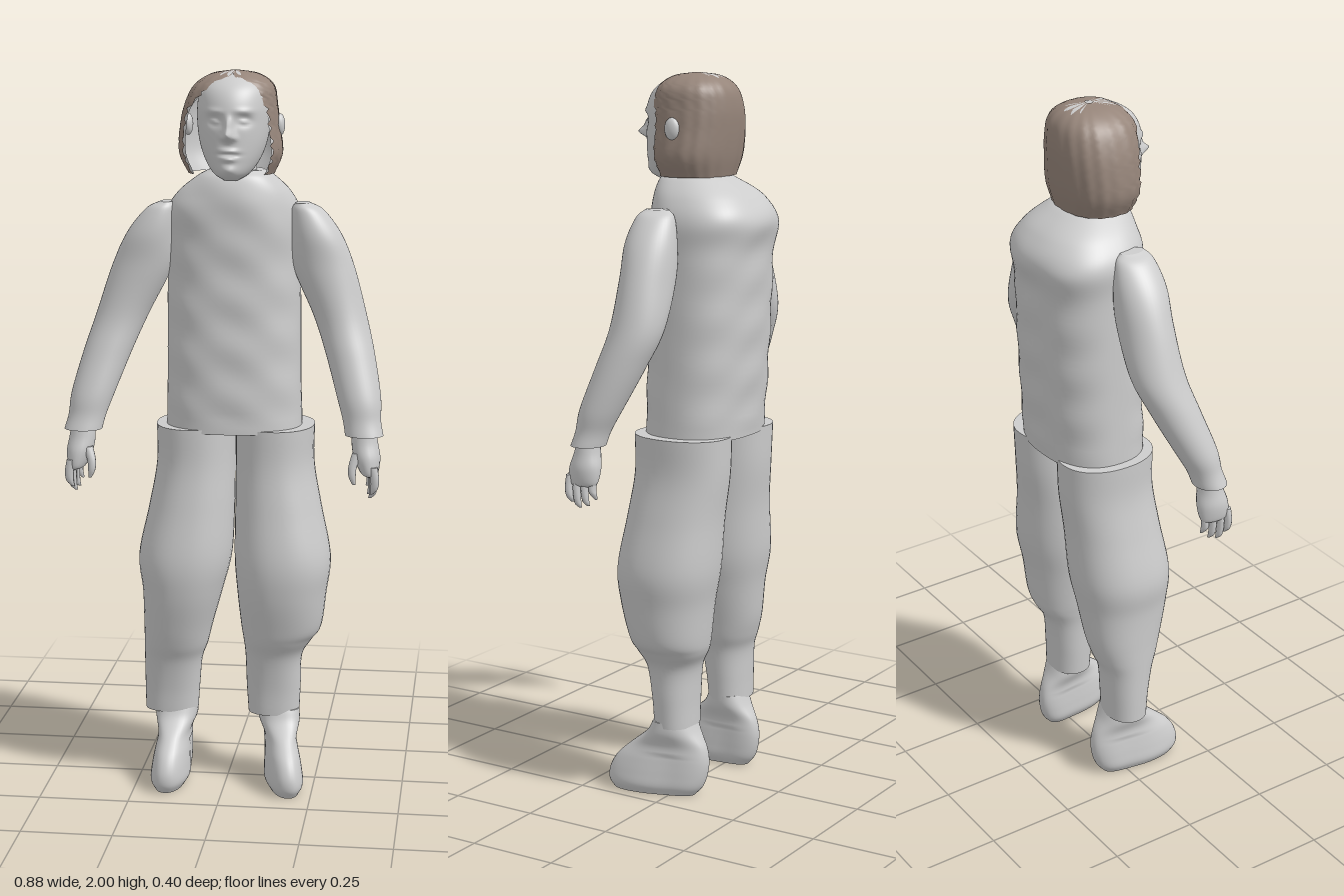
import * as THREE from 'three';

const clothGrey = new THREE.MeshStandardMaterial({ color: 0xcccccc, side: THREE.DoubleSide });
clothGrey.name = 'plain grey';
const hairBrown = new THREE.MeshStandardMaterial({ color: 0x96857a, side: THREE.DoubleSide });
hairBrown.name = 'hair brown';

// Lofts horizontal superellipse sections [x, y, z, rx, rz], listed from top to bottom.
// gap(t, row) opens the front by that half angle; bump(p) may move each point.
function loft(sections, { sides = 40, steps = 6, power = 2, gap = null, bump = null, caps = true } = {}) {
  const centres = new THREE.CatmullRomCurve3(sections.map(s => new THREE.Vector3(s[0], s[1], s[2])), false, 'catmullrom');
  const radii = new THREE.CatmullRomCurve3(sections.map(s => new THREE.Vector3(s[3], s[4], 0)), false, 'catmullrom');
  const rows = (sections.length - 1) * steps;
  const cols = gap ? sides + 1 : sides;
  const pos = [], idx = [];
  const curl = v => Math.sign(v) * Math.pow(Math.abs(v), 2 / power);
  const addRow = (t, k, row) => {
    const c = centres.getPoint(t), r = radii.getPoint(t), g = gap ? gap(t, row) : 0;
    for (let j = 0; j < cols; j++) {
      const a = g + (j / sides) * (2 * Math.PI - 2 * g);
      const p = new THREE.Vector3(c.x + k * r.x * curl(Math.sin(a)), c.y, c.z + k * r.y * curl(Math.cos(a)));
      if (bump) bump(p, a);
      pos.push(p.x, p.y, p.z);
    }
  };
  const join = row => {
    for (let j = 0; j < sides; j++) {
      const n = gap ? j + 1 : (j + 1) % sides;
      const a = row * cols + j, d = row * cols + n;
      idx.push(a, a + cols, d + cols, a, d + cols, d);
    }
  };
  for (let i = 0; i <= rows; i++) addRow(i / rows, 1, i);
  for (let i = 0; i < rows; i++) join(i);
  if (caps && !gap) { // flat ends with their own vertices, so the rim stays sharp
    addRow(0, 0, 0); addRow(0, 1, 0); join(rows + 1);
    addRow(1, 1, rows); addRow(1, 0, rows); join(rows + 3);
  }
  const geo = new THREE.BufferGeometry();
  geo.setAttribute('position', new THREE.Float32BufferAttribute(pos, 3));
  geo.setIndex(idx);
  geo.computeVertexNormals();
  return geo;
}

// Section from its limits: y, x range, z range
const box = (y, x0, x1, z0, z1) => [(x0 + x1) / 2, y, (z0 + z1) / 2, (x1 - x0) / 2, (z1 - z0) / 2];

export function createModel() {
  const model = new THREE.Group();
  const add = (name, geo, mat = clothGrey, parent = model) => {
    const mesh = new THREE.Mesh(geo, mat);
    mesh.name = name;
    parent.add(mesh);
    return mesh;
  };

  // Torso with a rounded upper back and soft cloth folds
  add('torso', loft([
    box(1.735, -0.05, 0.1, -0.06, 0.08),
    box(1.715, -0.085, 0.13, -0.1, 0.1),
    box(1.67, -0.14, 0.17, -0.165, 0.11),
    box(1.61, -0.175, 0.195, -0.2, 0.115),
    box(1.52, -0.17, 0.195, -0.187, 0.112),
    box(1.35, -0.17, 0.198, -0.18, 0.115),
    box(1.18, -0.17, 0.2, -0.17, 0.12),
    box(1.02, -0.172, 0.205, -0.158, 0.122),
  ], {
    sides: 64, power: 2.4, steps: 8,
    bump: p => { if (p.y > 1.04) p.z += 0.003 * Math.sin(p.y * 46 + p.x * 14) * Math.sin(p.x * 20 + 1); },
  }));

  // Trousers: wide to the knee, gathered at the calf, narrow to the ankle
  add('rightTrouserLeg', loft([
    box(1.03, -0.2, 0.018, -0.155, 0.12),
    box(0.92, -0.2, 0.018, -0.15, 0.12),
    box(0.8, -0.22, 0.018, -0.137, 0.135),
    box(0.66, -0.248, 0.012, -0.13, 0.155),
    box(0.56, -0.238, -0.012, -0.112, 0.147),
    box(0.46, -0.236, -0.04, -0.097, 0.122),
    box(0.4, -0.236, -0.055, -0.08, 0.103),
    box(0.35, -0.236, -0.072, -0.062, 0.083),
    box(0.27, -0.236, -0.08, -0.057, 0.068),
    box(0.2, -0.235, -0.085, -0.055, 0.062),
  ], { power: 2.2 }));
  add('leftTrouserLeg', loft([
    box(1.03, 0.022, 0.24, -0.155, 0.12),
    box(0.92, 0.022, 0.24, -0.15, 0.12),
    box(0.8, 0.022, 0.262, -0.137, 0.135),
    box(0.66, 0.022, 0.29, -0.13, 0.155),
    box(0.56, 0.03, 0.28, -0.112, 0.147),
    box(0.46, 0.04, 0.266, -0.1, 0.122),
    box(0.42, 0.046, 0.24, -0.09, 0.108),
    box(0.37, 0.052, 0.212, -0.065, 0.085),
    box(0.28, 0.055, 0.208, -0.057, 0.068),
    box(0.2, 0.06, 0.205, -0.055, 0.062),
  ], { power: 2.2 }));

  for (const side of [-1, 1]) {
    const label = side < 0 ? 'right' : 'left';

    // Shoe: ankle opening, sloping instep, rounded toe, slightly turned out on the left
    const turn = side > 0 ? 0.2 : 0.03;
    add(label + 'Shoe', loft([
      box(0.215, -0.062, 0.062, -0.05, 0.055),
      box(0.18, -0.06, 0.06, -0.065, 0.075),
      box(0.14, -0.046, 0.046, -0.088, 0.122),
      box(0.1, -0.05, 0.05, -0.096, 0.165),
      box(0.06, -0.054, 0.054, -0.092, 0.187),
      box(0.025, -0.055, 0.055, -0.08, 0.189),
      box(0, -0.042, 0.042, -0.06, 0.175),
    ], { power: 2.3, bump: p => {
      const waist = 1 - 0.14 * Math.exp(-((p.z / 0.05) ** 2)) * (p.y < 0.12 ? 1 : 0.3);
      p.x = side * (0.145 + (0.2 - p.y) * 0.04 + turn * p.z) + p.x * waist;
    } }));

    // Arm: shoulder cap, bent elbow, flared cuff
    const arm = new THREE.Group();
    arm.name = label + 'Arm';
    model.add(arm);
    const place = s => [side * s[0] + 0.02 * Math.max(0, (s[1] - 1.03) / 0.6), ...s.slice(1)];
    add(label + 'Sleeve', loft([
      [0.185, 1.647, 0.015, 0.02, 0.035],
      [0.2, 1.625, 0.013, 0.045, 0.055],
      [0.225, 1.56, 0.012, 0.07, 0.07],
      [0.25, 1.47, 0.008, 0.084, 0.072],
      [0.3, 1.34, 0.013, 0.073, 0.074],
      [0.334, 1.24, 0.045, 0.067, 0.068],
      [0.365, 1.13, 0.088, 0.06, 0.058],
      [0.377, 1.07, 0.108, 0.052, 0.047],
      [0.386, 1.03, 0.12, 0.052, 0.046],
    ].map(place)), clothGrey, arm);

    // Hand: palm, four fingers curling in, and a thumb
    const hand = new THREE.Group();
    hand.name = label + 'Hand';
    arm.add(hand);
    const flip = s => [side * s[0], ...s.slice(1)];
    add('palm', loft([
      [0.386, 1.05, 0.12, 0.032, 0.03],
      [0.388, 1.01, 0.122, 0.036, 0.036],
      [0.395, 0.97, 0.125, 0.036, 0.046],
      [0.402, 0.93, 0.128, 0.024, 0.044],
      [0.405, 0.92, 0.128, 0.01, 0.03],
    ].map(flip), { sides: 20 }), clothGrey, hand);
    for (let f = 0; f < 4; f++) {
      const z = 0.095 + f * 0.022, x = 0.398 + f * 0.005, tip = [0.885, 0.866, 0.86, 0.875][f];
      add('finger', loft([
        [x, 0.95, z, 0.013, 0.011],
        [x + 0.006, 0.915, z + 0.002, 0.012, 0.01],
        [x + 0.004, tip + 0.015, z, 0.01, 0.009],
        [x - 0.004, tip, z - 0.003, 0.004, 0.004],
      ].map(flip), { sides: 10, steps: 3 }), clothGrey, hand);
    }
    add('thumb', loft([
      [0.37, 0.985, 0.145, 0.015, 0.013],
      [0.358, 0.95, 0.155, 0.012, 0.011],
      [0.357, 0.922, 0.158, 0.01, 0.01],
      [0.362, 0.9, 0.158, 0.004, 0.004],
    ].map(flip), { sides: 10, steps: 3 }), clothGrey, hand);
  }

  // Neck
  add('neck', loft([
    [0.02, 1.8, 0.01, 0.06, 0.06], [0.02, 1.74, 0.015, 0.06, 0.06], [0.02, 1.67, 0.02, 0.07, 0.07],
  ]));

  // Head; face relief as soft bumps [x, y, width, height, depth]
  const relief = [
    [0, 1.835, 0.013, 0.014, 0.038], [0, 1.86, 0.009, 0.02, 0.02], // nose
    [-0.016, 1.828, 0.008, 0.007, 0.008], [0.016, 1.828, 0.008, 0.007, 0.008], // nostrils
    [-0.042, 1.872, 0.02, 0.014, -0.014], [0.042, 1.872, 0.02, 0.014, -0.014], // sockets
    [-0.04, 1.87, 0.012, 0.006, 0.012], [0.04, 1.87, 0.012, 0.006, 0.012], // eyes
    [-0.042, 1.897, 0.024, 0.007, 0.006], [0.042, 1.897, 0.024, 0.007, 0.006], // brows
    [0, 1.793, 0.022, 0.006, 0.011], [0, 1.772, 0.018, 0.007, 0.011], // lips
    [0, 1.783, 0.026, 0.004, -0.008], [0, 1.742, 0.02, 0.012, 0.008], // mouth line, chin
  ];
  add('head', loft([
    box(1.998, 0.01, 0.03, 0.0, 0.02),
    box(1.985, -0.04, 0.08, -0.05, 0.08),
    box(1.955, -0.07, 0.11, -0.08, 0.128),
    box(1.91, -0.078, 0.118, -0.092, 0.152),
    box(1.86, -0.078, 0.118, -0.09, 0.154),
    box(1.81, -0.07, 0.11, -0.07, 0.155),
    box(1.765, -0.053, 0.093, -0.04, 0.155),
    box(1.73, -0.028, 0.068, 0.01, 0.15),
    box(1.712, 0.0, 0.04, 0.05, 0.125),
  ], { sides: 120, steps: 10, bump: (p, a) => {
    const front = Math.max(0, Math.cos(a));
    for (const [x, y, w, h, d] of relief)
      p.z += front * d * Math.exp(-(((p.x - 0.02 - x) / w) ** 2) - ((p.y - y) / h) ** 2);
  } }));

  // Hair: open-fronted cap with a ragged edge, over a grey lining that peeps out
  const hairShape = k => [
    box(2.0, 0.01, 0.03, -0.005, 0.015),
    box(1.99, -0.045 * k, 0.02 + 0.065 * k, -0.06, 0.07),
    box(1.96, -0.09 * k, 0.02 + 0.105 * k, -0.095 * k, 0.108 * k),
    box(1.91, -0.115 * k, 0.02 + 0.115 * k, -0.107 * k, 0.122 * k),
    box(1.85, -0.128 * k, 0.02 + 0.122 * k, -0.106 * k, 0.122 * k),
    box(1.78, -0.13 * k, 0.02 + 0.13 * k, -0.098 * k, 0.12 * k),
    box(1.725, -0.105 * k, 0.02 + 0.108 * k, -0.085 * k, 0.105 * k),
  ];
  const opening = t => THREE.MathUtils.smoothstep(t, 0.12, 0.6) * 0.98;
  add('hair', loft(hairShape(1), {
    sides: 72, power: 2.3, steps: 6,
    gap: (t, row) => opening(t) + (t > 0.25 ? 0.07 * Math.sin(row * 2.4) : 0),
    bump: (p, a) => { const s = 1 + 0.012 * Math.sin(a * 18); p.x = 0.02 + (p.x - 0.02) * s; p.z *= s; },
  }), hairBrown);
  add('hairLining', loft(hairShape(0.95), {
    sides: 48, power: 2.3, gap: t => opening(t) + 0.02,
  }));

  // Ears showing through the hair
  for (const side of [-1, 1]) {
    const ear = add('ear', new THREE.SphereGeometry(1, 20, 14));
    ear.scale.set(0.014, 0.03, 0.022);
    ear.position.set(0.017 + side * 0.125, 1.855, 0.01);
  }

  // Scalp showing through on the crown: a thin arc laid on the hair
  const arcPoints = [];
  for (let i = 0; i <= 16; i++) {
    const a = Math.PI * (i / 16);
    arcPoints.push([0.018 + 0.052 * Math.cos(a), 0.02 - 0.068 * Math.sin(a)]);
  }
  const arcPos = [], arcIdx = [];
  arcPoints.forEach(([x, z], i) => {
    for (const k of [0.88, 1.12]) {
      const px = 0.018 + (x - 0.018) * k, pz = 0.02 + (z - 0.02) * k;
      arcPos.push(px, 2.0 - 2.6 * ((px - 0.02) ** 2 + (pz - 0.005) ** 2), pz);
    }
    if (i) arcIdx.push(2 * i - 2, 2 * i - 1, 2 * i, 2 * i, 2 * i - 1, 2 * i + 1);
  });
  const arcGeo = new THREE.BufferGeometry();
  arcGeo.setAttribute('position', new THREE.Float32BufferAttribute(arcPos, 3));
  arcGeo.setIndex(arcIdx);
  arcGeo.computeVertexNormals();
  add('crownPatch', arcGeo);

  return model;
}
